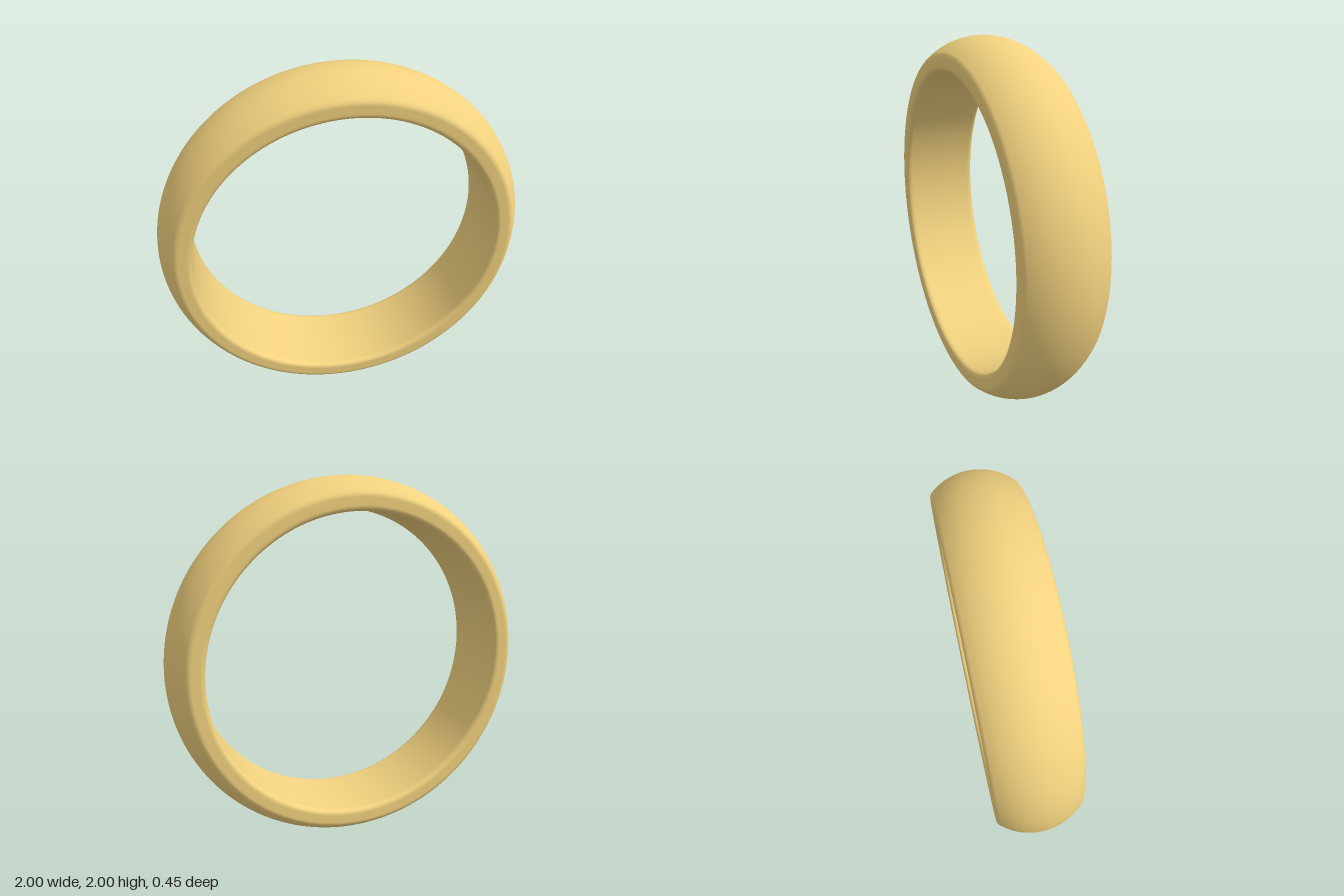
import * as THREE from 'three';

const INNER = 0.825;   // bore radius
const HALF_WIDTH = 0.225;
const DOME = 0.33;     // radius of the domed outer face

export function createModel() {
  const model = new THREE.Group();
  const gold = new THREE.MeshStandardMaterial({ color: 0xf2d27f });

  // Half cross-section (x = radius, y = across the width): crown, edge, side, bore
  const half = new THREE.Path();
  half.absarc(1 - DOME, 0, DOME, 0, Math.asin(0.205 / DOME), false);
  half.quadraticCurveTo(0.915, HALF_WIDTH, 0.895, HALF_WIDTH);
  half.lineTo(INNER + 0.03, HALF_WIDTH);
  half.quadraticCurveTo(INNER, HALF_WIDTH, INNER, HALF_WIDTH - 0.035);
  half.lineTo(INNER, 0);
  const upper = half.getPoints(10);

  // Mirror it to close the section, with the seam in the middle of the bore
  const lower = upper.slice(1).reverse().map((p) => new THREE.Vector2(p.x, -p.y));
  const geometry = new THREE.LatheGeometry([...lower, ...upper], 160);
  geometry.rotateX(Math.PI / 2);

  const band = new THREE.Mesh(geometry, gold);
  band.name = 'ringBand';
  band.position.y = 1;
  model.add(band);
  return model;
}
